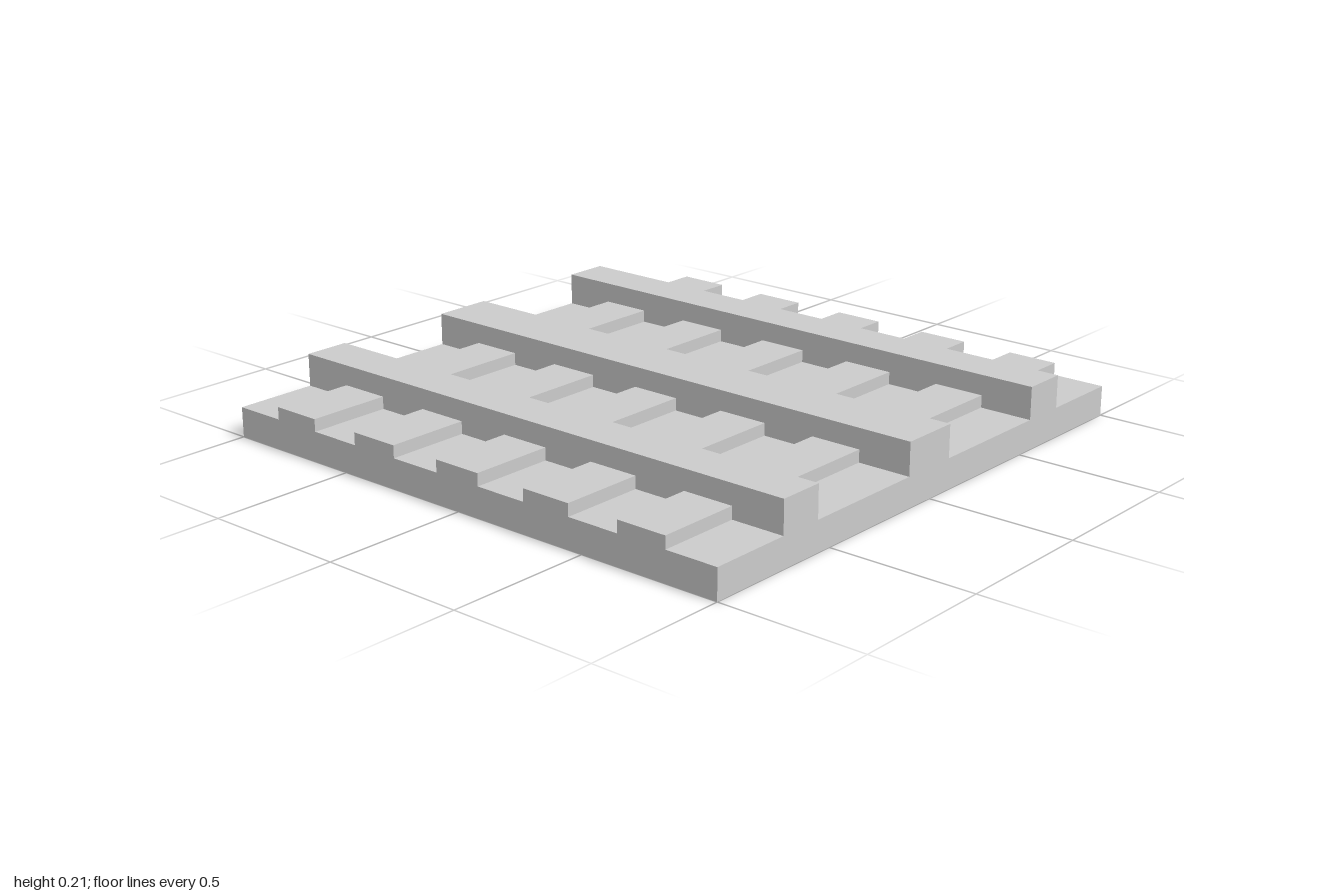
import * as THREE from 'three';

const BASE_TOP = 0.102;
const SLEEPER_TOP = 0.144;
const RAIL_TOP = 0.213;

export function createModel() {
  const model = new THREE.Group();
  model.name = 'trackTile';
  const material = new THREE.MeshStandardMaterial({ color: 0xcccccc, flatShading: true });

  // Box given by its [min, max] extent on each axis
  function addBox(name, [x0, x1], [y0, y1], [z0, z1]) {
    const mesh = new THREE.Mesh(new THREE.BoxGeometry(x1 - x0, y1 - y0, z1 - z0), material);
    mesh.position.set((x0 + x1) / 2, (y0 + y1) / 2, (z0 + z1) / 2);
    mesh.name = name;
    model.add(mesh);
  }

  // Square ground slab
  addBox('base', [-1, 1], [0, BASE_TOP], [-1, 1]);

  // Three rails running front to back, the middle one wider
  const rails = {
    rightRail: [-0.713, -0.555],
    centreRail: [-0.109, 0.099],
    leftRail: [0.556, 0.712],
  };
  for (const [name, span] of Object.entries(rails)) {
    addBox(name, span, [BASE_TOP, RAIL_TOP], [-1, 1]);
  }

  // Five cross sleepers, each filling the four bays beside the rails
  const sleepers = [[-0.816, -0.64], [-0.454, -0.277], [-0.09, 0.085], [0.272, 0.45], [0.637, 0.815]];
  const edges = [-1, ...Object.values(rails).flat(), 1];
  sleepers.forEach((depth, i) => {
    for (let b = 0; b < edges.length; b += 2) {
      addBox(`sleeper${i + 1}Bay${b / 2 + 1}`, [edges[b], edges[b + 1]], [BASE_TOP, SLEEPER_TOP], depth);
    }
  });

  return model;
}
